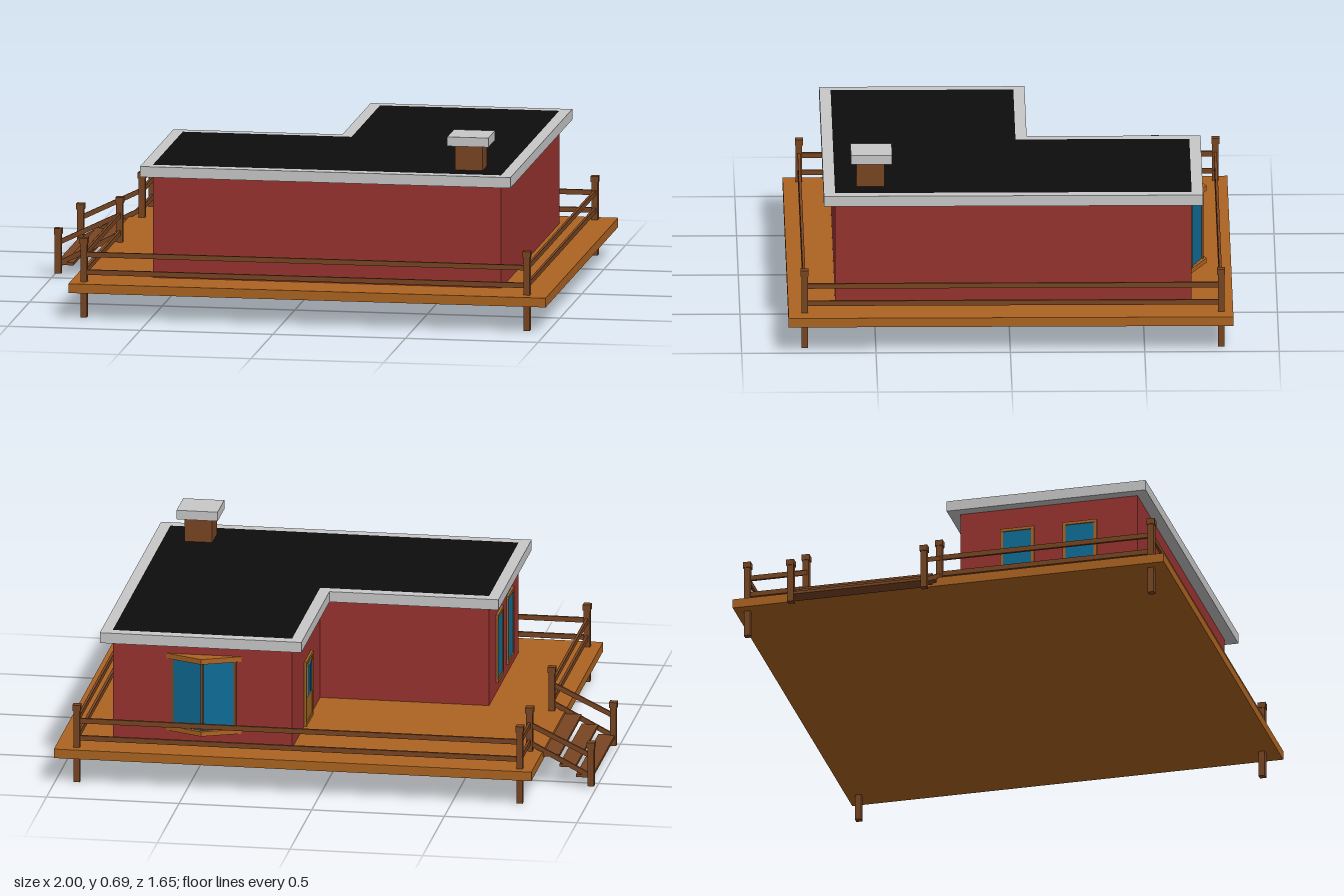
import * as THREE from 'three';

const mat = (name, color) => new THREE.MeshStandardMaterial({ name, color });

export function createModel() {
  const model = new THREE.Group();
  model.name = 'house';
  const M = {
    wall: mat('wallRed', 0x97332f),
    deck: mat('deckWood', 0xad6421),
    wood: mat('railBrown', 0x784522),
    rim: mat('trimGrey', 0xc8c8c8),
    roof: mat('roofBlack', 0x0d0d0d),
    glass: mat('glassBlue', 0x0f6c96),
    door: mat('doorBrown', 0x95631f),
  };

  const add = (name, geo, material, parent = model) => {
    const m = new THREE.Mesh(geo, material);
    m.name = name;
    parent.add(m);
    return m;
  };
  // Box given by its minimum and maximum on each axis
  const box = (name, material, [x0, x1], [y0, y1], [z0, z1], parent) => {
    const m = add(name, new THREE.BoxGeometry(x1 - x0, y1 - y0, z1 - z0), material, parent);
    m.position.set((x0 + x1) / 2, (y0 + y1) / 2, (z0 + z1) / 2);
    return m;
  };
  // Vertical prism over a floor plan of [x, z] points
  const prism = (name, material, plan, y0, y1, hole) => {
    const pts = (p) => p.map(([x, z]) => new THREE.Vector2(x, z));
    const s = new THREE.Shape(pts(plan));
    if (hole) s.holes.push(new THREE.Path(pts(hole)));
    const g = new THREE.ExtrudeGeometry(s, { depth: y1 - y0, bevelEnabled: false });
    g.rotateX(Math.PI / 2).translate(0, y1, 0);
    return add(name, g, material);
  };
  // Straight bar between two points
  const bar = (name, material, a, b, w, h) => {
    const p = new THREE.Vector3(...a), q = new THREE.Vector3(...b);
    const m = add(name, new THREE.BoxGeometry(w, h, p.distanceTo(q)), material);
    m.position.copy(p).lerp(q, 0.5);
    m.lookAt(q);
    return m;
  };

  // Deck
  box('deck', M.deck, [-0.8, 1], [0.1, 0.135], [-0.83, 0.825]);

  // L-shaped house body and flat roof with a grey rim
  const plan = (o) => [
    [-0.51 - o, -0.03 - o], [0.127 - o, -0.03 - o], [0.127 - o, -0.677 - o],
    [0.803 + o, -0.677 - o], [0.803 + o, 0.65 + o], [-0.51 - o, 0.65 + o],
  ];
  prism('walls', M.wall, plan(0), 0.135, 0.525);
  prism('roofRim', M.rim, plan(0.042), 0.522, 0.562, plan(0));
  prism('roof', M.roof, plan(0), 0.525, 0.562);

  // Chimney
  box('chimney', M.wood, [0.615, 0.72], [0.56, 0.655], [0.465, 0.57]);
  box('chimneyCap', M.rim, [0.59, 0.745], [0.655, 0.69], [0.437, 0.59]);

  // Framed opening on a wall that faces -x; local x runs along world z
  const opening = (name, x, z, y0, y1, w, fill) => {
    const g = new THREE.Group();
    g.name = name;
    g.position.set(x, 0, z);
    g.rotation.y = -Math.PI / 2;
    model.add(g);
    const h = w / 2, t = 0.011;
    box('panel', fill, [-h, h], [y0, y1], [0, 0.005], g);
    for (const s of [-1, 1]) {
      const e = [s * h, s * (h - t)].sort((a, b) => a - b);
      box('frameSide', M.deck, e, [y0, y1], [0, 0.009], g);
    }
    box('frameTop', M.deck, [-h, h], [y1 - t, y1], [0, 0.0095], g);
    box('frameBottom', M.deck, [-h, h], [y0, y0 + t], [0, 0.0095], g);
    return g;
  };
  for (const z of [0.19, 0.43]) opening('sideWindow', -0.51, z, 0.175, 0.44, 0.13, M.glass);

  // Door with two tall panes
  const door = opening('door', 0.127, -0.32, 0.135, 0.385, 0.155, M.door);
  for (const s of [-1, 1]) {
    const c = s * 0.028;
    box('doorPaneTrim', M.rim, [c - 0.021, c + 0.021], [0.238, 0.362], [0.005, 0.007], door);
    box('doorPane', M.glass, [c - 0.017, c + 0.017], [0.243, 0.357], [0.005, 0.009], door);
  }

  // Pointed bay window on the back wall
  const bay = (h, d) => [[0.46 - h, -0.677], [0.46, -0.677 - d], [0.46 + h, -0.677]];
  prism('bayGlass', M.glass, bay(0.12, 0.043), 0.2, 0.462);
  prism('bayCap', M.deck, bay(0.142, 0.06), 0.462, 0.482);
  prism('baySill', M.deck, bay(0.142, 0.06), 0.182, 0.2);
  for (const [x, z] of bay(0.118, 0.043)) bar('bayMullion', M.wood, [x, 0.2, z], [x, 0.462, z], 0.01, 0.01);

  // Posts: [x, z, bottom, top]
  const xl = -0.75, xr = 0.92, zf = 0.765, zb = -0.785, xs = -0.982;
  const gate = [-0.56, -0.048];
  const posts = [[xl, zf, 0, 0.3], [xr, zf, 0, 0.3], [xr, zb, 0, 0.3], [xl, zb, 0, 0.3]];
  for (const z of gate) posts.push([xl, z, 0.12, 0.305], [xs, z, 0.01, 0.18]);
  for (const [x, z, y0, y1] of posts) {
    const r = 0.012, c = 0.015;
    box('post', M.wood, [x - r, x + r], [y0, y1 - 0.022], [z - r, z + r]);
    box('postCap', M.wood, [x - c, x + c], [y1 - 0.022, y1], [z - c, z + c]);
  }

  // Double rails around the deck
  const runs = [
    [xl, zf, xr, zf], [xr, zf, xr, zb], [xr, zb, xl, zb],
    [xl, zb, xl, gate[0]], [xl, gate[1], xl, zf],
  ];
  for (const y of [0.17, 0.237])
    for (const [x0, z0, x1, z1] of runs) bar('rail', M.wood, [x0, y, z0], [x1, y, z1], 0.01, 0.019);

  // Stair rails and open treads
  for (const z of gate) {
    bar('stairRail', M.wood, [xs, 0.125, z], [xl, 0.237, z], 0.01, 0.018);
    bar('stairRail', M.wood, [xs, 0.045, z], [xl, 0.165, z], 0.01, 0.018);
  }
  for (let i = 0; i < 3; i++) {
    const x = -0.988 + i * 0.063, y = 0.04 + i * 0.037;
    box('tread', M.wood, [x, x + 0.063], [y, y + 0.011], [gate[0], gate[1]]);
  }

  return model;
}
